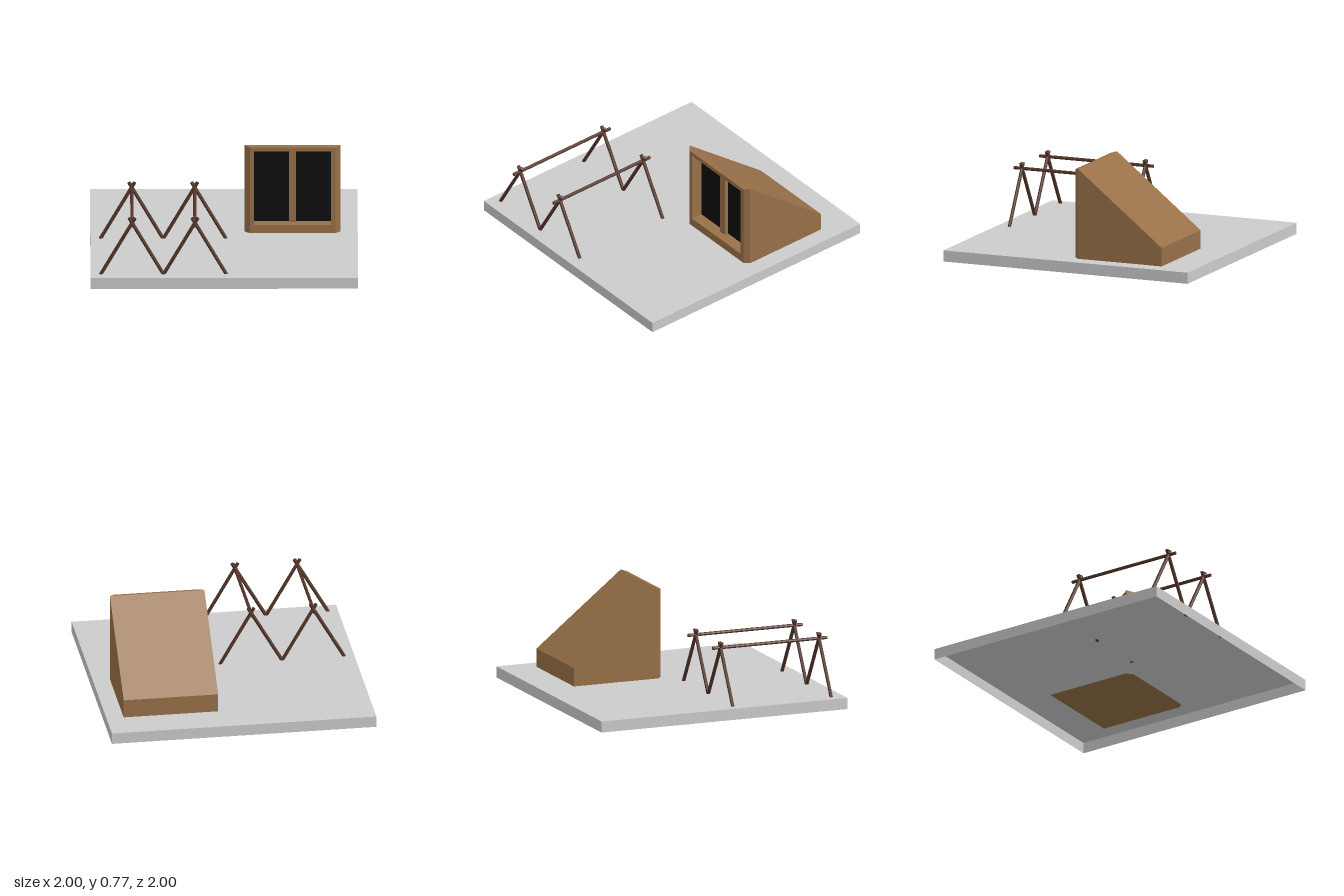
import * as THREE from 'three';

const GROUND = 0.085;
const mat = (color) => new THREE.MeshStandardMaterial({ color, flatShading: true, side: THREE.DoubleSide });

// Rectangular section in the XY plane, counter-clockwise seen from +z
const section = (z, x0, x1, y0, y1) => [[x0, y0, z], [x1, y0, z], [x1, y1, z], [x0, y1, z]];

// Skin successive sections, running from back to front, and close the back
function loft(sections) {
  const pos = [];
  const quad = (a, b, c, d) => pos.push(...a, ...b, ...c, ...a, ...c, ...d);
  const [p, q, r, s] = sections[0];
  quad(q, p, s, r);
  for (let i = 0; i < sections.length - 1; i++) {
    const A = sections[i], B = sections[i + 1];
    for (let k = 0; k < 4; k++) {
      const n = (k + 1) % 4;
      quad(A[k], A[n], B[n], B[k]);
    }
  }
  const g = new THREE.BufferGeometry();
  g.setAttribute('position', new THREE.Float32BufferAttribute(pos, 3));
  g.computeVertexNormals();
  return g;
}

// Round pole between two points
function pole(name, a, b, radius, material) {
  const from = new THREE.Vector3(...a), to = new THREE.Vector3(...b);
  const dir = to.clone().sub(from);
  const mesh = new THREE.Mesh(new THREE.CylinderGeometry(radius, radius, dir.length(), 8), material);
  mesh.position.copy(from).add(to).multiplyScalar(0.5);
  mesh.quaternion.setFromUnitVectors(new THREE.Vector3(0, 1, 0), dir.normalize());
  mesh.name = name;
  return mesh;
}

export function createModel() {
  const model = new THREE.Group();
  const grey = mat(0xcccccc), wood = mat(0x987048), dark = mat(0x55362a), black = mat(0x0d0d0d);
  const add = (name, geometry, material, parent = model) => {
    const mesh = new THREE.Mesh(geometry, material);
    mesh.name = name;
    parent.add(mesh);
    return mesh;
  };

  // Ground slab: top and four sides, open underneath
  const slab = new THREE.Group();
  slab.name = 'groundSlab';
  model.add(slab);
  add('slabTop', new THREE.PlaneGeometry(2, 2).rotateX(-Math.PI / 2).translate(0, GROUND, 0), grey, slab);
  for (let i = 0; i < 4; i++) {
    add('slabSide', new THREE.PlaneGeometry(2, GROUND).translate(0, GROUND / 2, 1).rotateY(i * Math.PI / 2), grey, slab);
  }

  // Sloped shelter: back, chamfered front, window frame and recess
  const shelter = new THREE.Group();
  shelter.name = 'shelter';
  model.add(shelter);
  add('shelterBody', loft([
    section(-0.73, 0.155, 0.87, GROUND - 0.002, 0.225),
    section(-0.045, 0.155, 0.87, GROUND - 0.002, 0.77),
    section(-0.01, 0.195, 0.835, GROUND - 0.002, 0.762),
    section(-0.01, 0.225, 0.80, 0.15, 0.73),
    section(-0.1, 0.225, 0.80, 0.15, 0.715),
  ]), wood, shelter);

  // Dark panes and the post between them
  add('windowPane', new THREE.PlaneGeometry(0.575, 0.565).translate(0.5125, 0.4325, -0.1), black, shelter);
  add('windowPost', new THREE.BoxGeometry(0.055, 0.565, 0.03).translate(0.5125, 0.4325, -0.085), wood, shelter);

  // Two ridge frames: crossed legs at both ends carrying a ridge pole
  for (const x of [-0.69, -0.22]) {
    const frame = new THREE.Group();
    frame.name = 'poleFrame';
    model.add(frame);
    for (const z of [0.1, 0.9]) {
      for (const s of [-1, 1]) {
        frame.add(pole('leg', [x + s * 0.235, GROUND - 0.004, z], [x - s * 0.022, 0.527, z], 0.0135, dark));
      }
    }
    frame.add(pole('ridgePole', [x, 0.487, 0.035], [x, 0.487, 0.965], 0.0125, dark));
  }
  return model;
}
